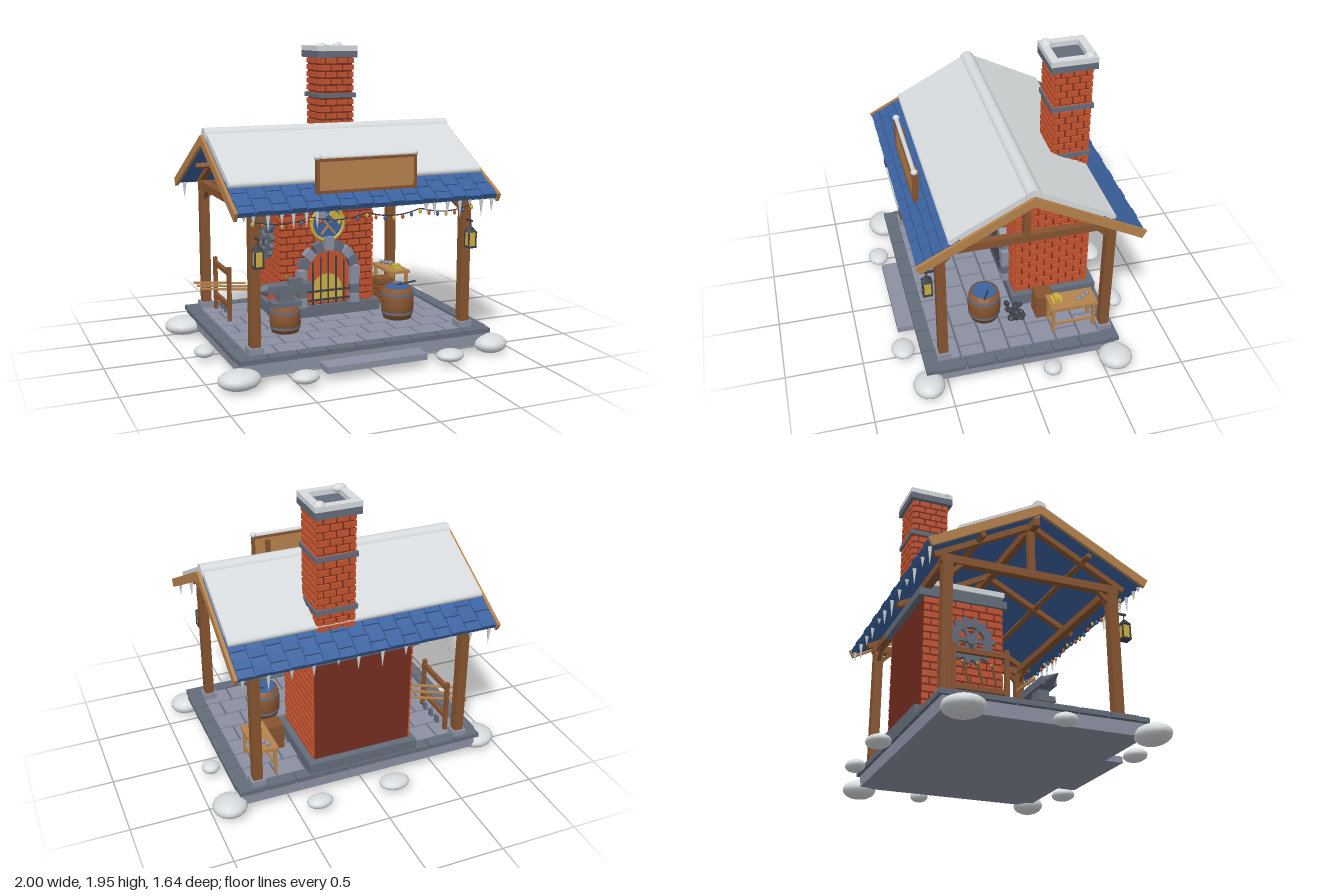
import * as THREE from 'three';
import { mergeGeometries } from 'three/addons/utils/BufferGeometryUtils.js';

const colors = { snow: 0xd6dadc, stone: 0x8b90a2, steel: 0x646c7a, iron: 0x3b3f48, brick: 0xc4532f,
  mortar: 0x742c20, wood: 0x875430, paleWood: 0xb5824c, blue: 0x3b629f, yellow: 0xcdae42 };
const M = {};
for (const k in colors) {
  M[k] = new THREE.MeshStandardMaterial({ color: colors[k] });
  M[k].name = k;
}
let seed = 7;
const rnd = () => (seed = (seed * 16807) % 2147483647) / 2147483647;

function add(parent, name, geo, mat, x = 0, y = 0, z = 0, rx = 0, ry = 0, rz = 0) {
  const m = new THREE.Mesh(geo, M[mat]);
  m.name = name;
  m.position.set(x, y, z);
  m.rotation.set(rx, ry, rz);
  parent.add(m);
  return m;
}
const box = (p, name, mat, w, h, d, ...t) => add(p, name, new THREE.BoxGeometry(w, h, d), mat, ...t);
const cyl = (p, name, mat, r1, r2, h, n, ...t) => add(p, name, new THREE.CylinderGeometry(r1, r2, h, n), mat, ...t);
function blob(p, name, mat, x, y, z, rx, ry, rz) {
  return add(p, name, new THREE.SphereGeometry(1, 16, 10), mat, x, y, z).scale.set(rx, ry, rz);
}
function group(p, name, x = 0, y = 0, z = 0, ry = 0) {
  const g = new THREE.Group();
  g.name = name;
  g.position.set(x, y, z);
  g.rotation.y = ry;
  p.add(g);
  return g;
}
// Bar between two points
function bar(p, name, mat, a, b, w, d = w) {
  const A = new THREE.Vector3(...a), B = new THREE.Vector3(...b);
  const m = box(p, name, mat, w, d, A.distanceTo(B));
  m.position.copy(A).lerp(B, 0.5);
  m.lookAt(B);
}
// Courses of blocks with staggered joints in the XY plane, centred on x, rising from y = 0
function courses(w, h, rows, per, depth, gap) {
  const out = [], bw = w / per, bh = h / rows;
  for (let r = 0; r < rows; r++) {
    for (let i = 0; i <= per; i++) {
      const x0 = Math.max(0, (i - (r % 2 ? 0.5 : 0)) * bw), x1 = Math.min(w, (i + (r % 2 ? 0.5 : 1)) * bw);
      if (x1 - x0 < 0.01) continue;
      out.push(new THREE.BoxGeometry(x1 - x0 - gap, bh - gap, depth)
        .translate((x0 + x1) / 2 - w / 2, (r + 0.5) * bh, depth / 2));
    }
  }
  return mergeGeometries(out);
}
function brickTower(p, name, x0, x1, z0, z1, y0, y1, per, back) {
  const g = group(p, name, (x0 + x1) / 2, y0, (z0 + z1) / 2);
  const w = x1 - x0, d = z1 - z0, h = y1 - y0, rows = Math.round(h / 0.047);
  box(g, 'mortarCore', 'mortar', w, h, d, 0, h / 2, 0);
  const sides = [[0, w, d], [Math.PI / 2, d, w], [-Math.PI / 2, d, w]];
  if (back) sides.push([Math.PI, w, d]);
  for (const [a, len, across] of sides)
    add(g, 'bricks', courses(len + 0.012, h, rows, Math.max(2, Math.round(len / per)), 0.012, 0.012), 'brick',
      Math.sin(a) * across / 2, 0, Math.cos(a) * across / 2, 0, a, 0);
}
function barrel(p, name, x, z, r, h) {
  const g = group(p, name, x, 0.165, z);
  const pts = [[0, 0], [r * 0.87, 0], [r, h * 0.35], [r, h * 0.65], [r * 0.87, h], [0, h]];
  add(g, 'staves', new THREE.LatheGeometry(pts.map(q => new THREE.Vector2(...q)), 18), 'wood');
  for (const t of [0.2, 0.8]) cyl(g, 'hoop', 'steel', r * 0.985, r * 0.985, 0.016, 18, 0, h * t, 0);
  return g;
}

function platform(p) {
  const g = group(p, 'platform');
  box(g, 'slab', 'stone', 1.62, 0.08, 1.22, 0, 0.1, 0.01);
  box(g, 'bed', 'steel', 1.62, 0.015, 1.22, 0, 0.1475, 0.01);
  add(g, 'floorTiles', courses(1.5, 1.1, 7, 8, 0.012, 0.014), 'stone', 0, 0.153, 0.56, -Math.PI / 2);
  for (const s of [-1, 1]) {
    for (let i = 0; i < 9; i++) box(g, 'edgePaver', 'steel', 0.176, 0.03, 0.08, (i - 4) * 0.186, 0.155, 0.01 + s * 0.59);
    for (let i = 0; i < 6; i++) box(g, 'edgePaver', 'steel', 0.08, 0.03, 0.176, s * 0.8, 0.155, 0.01 + (i - 2.5) * 0.186);
  }
  box(g, 'step', 'stone', 0.66, 0.04, 0.15, 0, 0.08, 0.665);
  const mounds = [[-0.87, -0.5, 0.13, 0.125], [-0.15, -0.75, 0.1, 0.075], [0.36, -0.75, 0.085, 0.06], [0.89, -0.58, 0.11, 0.11],
    [0.89, -0.16, 0.06, 0.06], [-0.89, 0.08, 0.065, 0.07], [-0.84, 0.65, 0.13, 0.105], [-0.47, 0.745, 0.085, 0.07],
    [0.49, 0.735, 0.09, 0.075], [0.84, 0.63, 0.11, 0.1]];
  for (const [x, z, a, b] of mounds) blob(p, 'snowMound', 'snow', x, a > 0.1 ? 0.068 : 0.066, z, a, a > 0.1 ? 0.06 : 0.038, b);
}

function frame(p) {
  const g = group(p, 'timberFrame');
  for (const s of [-1, 1]) {
    const x = s * 0.7;
    for (const [z, t] of [[0.51, -1], [-0.55, 1]]) {
      box(g, 'postFoot', 'stone', 0.09, 0.04, 0.09, x, 0.185, z);
      box(g, 'post', 'wood', 0.06, 0.84, 0.06, x, 0.6, z);
      bar(g, 'brace', 'wood', [x, 0.91, z], [x, 1, z + t * 0.09], 0.025);
      bar(g, 'brace', 'wood', [x, 0.91, z], [x - s * 0.09, 1, z], 0.025);
    }
    box(g, 'sideBeam', 'wood', 0.05, 0.05, 1.14, x, 1.015, -0.02);
  }
  for (const z of [0.51, -0.55]) box(g, 'crossBeam', 'wood', 1.46, 0.045, 0.05, 0, 1.015, z);
  box(g, 'ridgeBeam', 'wood', 1.6, 0.05, 0.04, 0, 1.33, -0.02);
  for (const x of [-0.7, 0.7]) box(g, 'kingPost', 'wood', 0.04, 0.3, 0.04, x, 1.18, -0.02);
}

function roof(p) {
  const g = group(p, 'roof', 0, 1.38, -0.02), a = 0.487, L = 0.765;
  for (const back of [0, 1]) {
    const turn = group(g, back ? 'backSlope' : 'frontSlope', 0, 0, 0, back * Math.PI);
    const s = group(turn, 'slope');
    s.rotation.x = a;
    box(s, 'deck', 'blue', 1.68, 0.022, L, 0, 0, L / 2);
    for (let r = 0; r < 5; r++)
      add(s, 'shingles', courses(1.68, 0.062, 1, 16, 0.016, 0.008), 'blue', r % 2 ? 0.004 : 0, 0.006, L + 0.004 - r * 0.06, -Math.PI / 2 + 0.09);
    // Half-offset joints on every other course
    for (let r = 0; r < 5; r++) for (let i = 0; i < 16; i++)
      if ((i + r) % 2) box(s, 'raisedShingle', 'blue', 0.088, 0.012, 0.058, (i - 7.5) * 0.104, 0.022, L - 0.028 - r * 0.06);
    const sl = back ? 0.53 : 0.52;
    box(s, 'snowSheet', 'snow', 1.66, 0.04, sl, 0, 0.036, sl / 2);
    cyl(s, 'snowEdge', 'snow', 0.022, 0.022, 1.66, 12, 0, 0.036, sl, 0, 0, Math.PI / 2);
    for (const x of [-0.85, 0.85]) box(s, 'bargeBoard', 'paleWood', 0.02, 0.055, L + 0.02, x, 0, L / 2);
    for (const x of [-0.7, 0, 0.7]) box(s, 'rafter', 'wood', 0.04, 0.035, L - 0.08, x, -0.028, L / 2 - 0.02);
    box(s, 'purlin', 'wood', 1.6, 0.03, 0.03, 0, -0.025, 0.4);
  }
  cyl(g, 'ridgeSnow', 'snow', 0.048, 0.048, 1.68, 16, 0, 0.025, 0, 0, 0, Math.PI / 2);
  // Icicles along both eaves
  const ice = group(p, 'icicles');
  for (let i = 0; i < 34; i++) {
    const front = i < 22, t = front ? i / 21 : (i - 22) / 11, x = -0.81 + t * 1.62;
    if (front && Math.abs(x) < 0.3) continue;
    const h = 0.03 + rnd() * 0.085;
    cyl(ice, 'icicle', 'snow', 0.013, 0.001, h, 6, x + (rnd() - 0.5) * 0.03, 1.015 - h / 2, front ? 0.645 : -0.685);
  }
}

function furnace(p) {
  const g = group(p, 'furnace');
  box(g, 'plinth', 'steel', 0.74, 0.08, 0.58, 0, 0.2, -0.32);
  brickTower(g, 'furnaceBody', -0.33, 0.32, -0.56, -0.062, 0.24, 0.95, 0.095, false);
  box(g, 'capStone', 'steel', 0.72, 0.05, 0.57, 0, 0.97, -0.315);
  box(g, 'capTop', 'steel', 0.66, 0.04, 0.5, 0, 1.012, -0.3);
  box(g, 'capSnow', 'snow', 0.68, 0.035, 0.48, 0, 1.048, -0.28);
  // Arched mouth
  const arch = new THREE.Shape().moveTo(-0.16, 0).lineTo(0.16, 0).lineTo(0.16, 0.21);
  arch.absarc(0, 0.21, 0.16, 0, Math.PI).lineTo(-0.16, 0);
  add(g, 'fireMouth', new THREE.ExtrudeGeometry(arch, { depth: 0.006, bevelEnabled: false }), 'brick', -0.01, 0.25, -0.05);
  const glow = new THREE.Shape().moveTo(-0.105, 0).lineTo(0.105, 0).lineTo(0.105, 0.08);
  glow.absarc(0, 0.08, 0.105, 0, Math.PI).lineTo(-0.105, 0);
  add(g, 'fireGlow', new THREE.ExtrudeGeometry(glow, { depth: 0.005, bevelEnabled: false }), 'yellow', -0.01, 0.265, -0.044);
  for (let i = -2; i <= 2; i++) {
    const h = 0.35 - Math.abs(i) * 0.03;
    cyl(g, 'grateBar', 'iron', 0.006, 0.006, h, 8, -0.01 + i * 0.055, 0.25 + h / 2, -0.02);
  }
  for (const y of [0.28, 0.34]) box(g, 'grateRail', 'iron', 0.31, 0.012, 0.012, -0.01, y, -0.022);
  for (let i = 0; i < 9; i++) {
    const t = i * Math.PI / 8, k = i === 4 ? 0.012 : 0;
    box(g, 'archStone', i % 2 ? 'steel' : 'stone', 0.065 + k * 2, 0.062, 0.06 + k, -0.01 + Math.cos(t) * (0.187 + k), 0.46 + Math.sin(t) * (0.187 + k), -0.032, 0, 0, t);
  }
  for (const s of [-1, 1]) for (let i = 0; i < 3; i++)
    box(g, 'jambStone', i % 2 ? 'steel' : 'stone', 0.06, 0.06, 0.06, -0.01 + s * 0.187, 0.272 + i * 0.064, -0.032);
  // Emblem with crossed hammers
  const e = group(g, 'emblem', -0.01, 0.79, -0.04);
  cyl(e, 'emblemDisc', 'blue', 0.11, 0.11, 0.02, 32, 0, 0, 0, Math.PI / 2);
  add(e, 'emblemRing', new THREE.TorusGeometry(0.112, 0.012, 8, 36), 'yellow', 0, 0, 0.008);
  for (const s of [-1, 1]) {
    box(e, 'hammerHandle', 'paleWood', 0.014, 0.17, 0.008, s * 0.005, -0.005, 0.016 + s * 0.002, 0, 0, -s * 0.7);
    box(e, 'hammerHead', s > 0 ? 'yellow' : 'stone', 0.085, 0.045, 0.012, s * 0.05, 0.05, 0.019, 0, 0, -s * 0.7);
  }
  // Chimney
  brickTower(g, 'chimney', 0.05, 0.28, -0.525, -0.3, 1.03, 1.86, 0.075, true);
  for (const y of [1.265, 1.605]) box(g, 'chimneyBand', 'steel', 0.27, 0.03, 0.265, 0.165, y, -0.4125);
  box(g, 'chimneyCap', 'steel', 0.29, 0.045, 0.29, 0.16, 1.88, -0.4125);
  for (const s of [-1, 1]) {
    box(g, 'chimneySnow', 'snow', 0.29, 0.035, 0.05, 0.16, 1.918, -0.4125 + s * 0.12);
    box(g, 'chimneySnow', 'snow', 0.05, 0.035, 0.19, 0.16 + s * 0.12, 1.918, -0.4125);
    blob(g, 'snowLump', 'snow', 0.16 - s * 0.105, 1.93, -0.4125 + s * 0.105, 0.045 - (s < 0 ? 0.01 : 0), 0.026, 0.034);
  }
  // Gear wheel on the side wall
  const w = group(g, 'gearWheel', -0.35, 0.69, -0.27, -Math.PI / 2), sh = new THREE.Shape();
  for (let i = 0; i < 56; i++) {
    const r = i % 4 < 2 ? 0.155 : 0.128, t = i / 56 * Math.PI * 2;
    sh[i ? 'lineTo' : 'moveTo'](Math.cos(t) * r, Math.sin(t) * r);
  }
  sh.holes.push(new THREE.Path().absarc(0, 0, 0.085, 0, Math.PI * 2, true));
  add(w, 'gearRim', new THREE.ExtrudeGeometry(sh, { depth: 0.028, bevelEnabled: false }), 'steel');
  for (let i = 0; i < 3; i++) box(w, 'gearSpoke', 'steel', 0.18, 0.022, 0.018, 0, 0, 0.014, 0, 0, i * Math.PI / 3);
  cyl(w, 'gearHub', 'steel', 0.035, 0.035, 0.05, 16, 0, 0, 0.016, Math.PI / 2);
}

function frontDecor(p) {
  const s = group(p, 'signBoard', -0.005, 1.205, 0.568);
  box(s, 'signPanel', 'paleWood', 0.62, 0.18, 0.02);
  for (const k of [-1, 1]) {
    box(s, 'signRail', 'wood', 0.65, 0.018, 0.032, 0, k * 0.094, 0);
    box(s, 'signStile', 'wood', 0.018, 0.205, 0.032, k * 0.316, 0, 0);
    box(s, 'signPost', 'wood', 0.03, 0.2, 0.025, k * 0.22, -0.03, -0.025);
    blob(s, 'signSnowEnd', 'snow', k * 0.315, 0.112, 0, 0.022, 0.018, 0.022);
    // Lanterns hung from the front posts
    const l = group(p, 'lantern', k * 0.7, 0.75, 0.59);
    box(l, 'bracket', 'iron', 0.012, 0.012, 0.08, 0, 0.118, -0.025);
    cyl(l, 'hook', 'iron', 0.004, 0.004, 0.05, 6, 0, 0.1, 0);
    cyl(l, 'lanternRoof', 'iron', 0.01, 0.045, 0.035, 4, 0, 0.065, 0, 0, Math.PI / 4);
    box(l, 'lanternGlass', 'yellow', 0.048, 0.085, 0.048);
    box(l, 'lanternBase', 'iron', 0.06, 0.012, 0.06, 0, -0.046, 0);
    for (const a of [-1, 1]) for (const b of [-1, 1]) box(l, 'lanternCorner', 'iron', 0.008, 0.09, 0.008, a * 0.025, 0, b * 0.025);
  }
  cyl(s, 'signSnow', 'snow', 0.014, 0.014, 0.63, 10, 0, 0.107, 0, 0, 0, Math.PI / 2);
  const pts = [];
  for (let i = 0; i <= 24; i++) pts.push(new THREE.Vector3(-0.72 + i * 0.06, 0.965 - 0.028 * Math.abs(Math.sin(i * Math.PI / 6)), 0.56));
  add(p, 'garlandWire', new THREE.TubeGeometry(new THREE.CatmullRomCurve3(pts), 72, 0.004, 5), 'iron');
  pts.forEach((q, i) => blob(p, 'garlandBulb', ['yellow', 'brick', 'blue'][i % 3], q.x, q.y - 0.016, q.z, 0.01, 0.015, 0.01));
}

function workshop(p) {
  // Anvil on its stump
  const a = barrel(p, 'anvilStump', -0.385, 0.17, 0.1, 0.165);
  box(a, 'anvilFoot', 'steel', 0.19, 0.035, 0.11, 0, 0.18, 0);
  box(a, 'anvilWaist', 'steel', 0.1, 0.06, 0.07, 0, 0.22, 0);
  box(a, 'anvilTop', 'steel', 0.29, 0.05, 0.1, 0.02, 0.28, 0);
  cyl(a, 'anvilHorn', 'steel', 0.002, 0.038, 0.13, 14, -0.185, 0.28, 0, 0, 0, Math.PI / 2);
  bar(a, 'hammerHandle', 'paleWood', [0.06, 0.32, 0.01], [0.09, 0.32, -0.13], 0.012);
  box(a, 'hammerHead', 'steel', 0.09, 0.035, 0.035, 0.06, 0.322, 0.02);
  // Water barrel with a poker
  const b = barrel(p, 'waterBarrel', 0.405, 0.17, 0.108, 0.205);
  cyl(b, 'water', 'blue', 0.08, 0.08, 0.004, 18, 0, 0.206, 0);
  bar(b, 'poker', 'iron', [0.04, 0.16, 0], [0.085, 0.285, 0], 0.01);
  // Work table with ingots
  const t = group(p, 'workTable', 0.615, 0.165, -0.36);
  box(t, 'tableTop', 'paleWood', 0.15, 0.02, 0.31, 0, 0.19, 0);
  for (const x of [-0.055, 0.055]) {
    for (const z of [-0.135, 0.135]) box(t, 'tableLeg', 'paleWood', 0.02, 0.185, 0.02, x, 0.092, z);
    box(t, 'stretcher', 'paleWood', 0.014, 0.014, 0.27, x, 0.06, 0);
  }
  for (let i = 0; i < 3; i++) box(t, 'ingot', 'yellow', 0.06, 0.02, 0.03, -0.01, i === 2 ? 0.23 : 0.21, [0.08, 0.12, 0.1][i]);
  for (let i = 0; i < 3; i++) blob(t, 'oreLump', 'stone', 0.02 - i * 0.02, 0.212, -0.04 - i * 0.035, 0.017, 0.015, 0.015);
  // Slatted crate and coal heap
  const c = group(p, 'crate', 0.475, 0.165, -0.21);
  box(c, 'crateCore', 'mortar', 0.1, 0.16, 0.1, 0, 0.085, 0);
  for (let i = 0; i < 4; i++) box(c, 'crateSlat', 'wood', 0.118, 0.034, 0.118, 0, 0.02 + i * 0.045, 0);
  for (let i = 0; i < 14; i++)
    add(p, 'coal', new THREE.DodecahedronGeometry(0.018 + rnd() * 0.008), 'iron', 0.45 + (rnd() - 0.5) * 0.13, 0.178 + (i > 9 ? 0.025 : 0), -0.03 + (rnd() - 0.5) * 0.1, rnd(), rnd(), 0);
  // Tool rack beside the left-hand bay
  const r = group(p, 'toolRack', -0.65, 0.165, -0.32);
  for (const z of [-0.16, 0.16]) box(r, 'rackUpright', 'wood', 0.025, 0.36, 0.025, 0, 0.18, z);
  for (const y of [0.1, 0.32]) box(r, 'rackRail', 'wood', 0.025, 0.028, 0.34, 0, y, 0);
  for (let i = -1; i <= 1; i++) {
    bar(r, 'toolHandle', 'paleWood', [0.025, 0.02, i * 0.085], [-0.015, 0.37, i * 0.085], 0.013);
    box(r, 'toolHead', 'steel', 0.018, 0.05, 0.035, 0.022, 0.04, i * 0.085);
  }
}

export function createModel() {
  const g = new THREE.Group();
  g.name = 'forge';
  for (const build of [platform, frame, roof, furnace, frontDecor, workshop]) build(g);
  return g;
}
